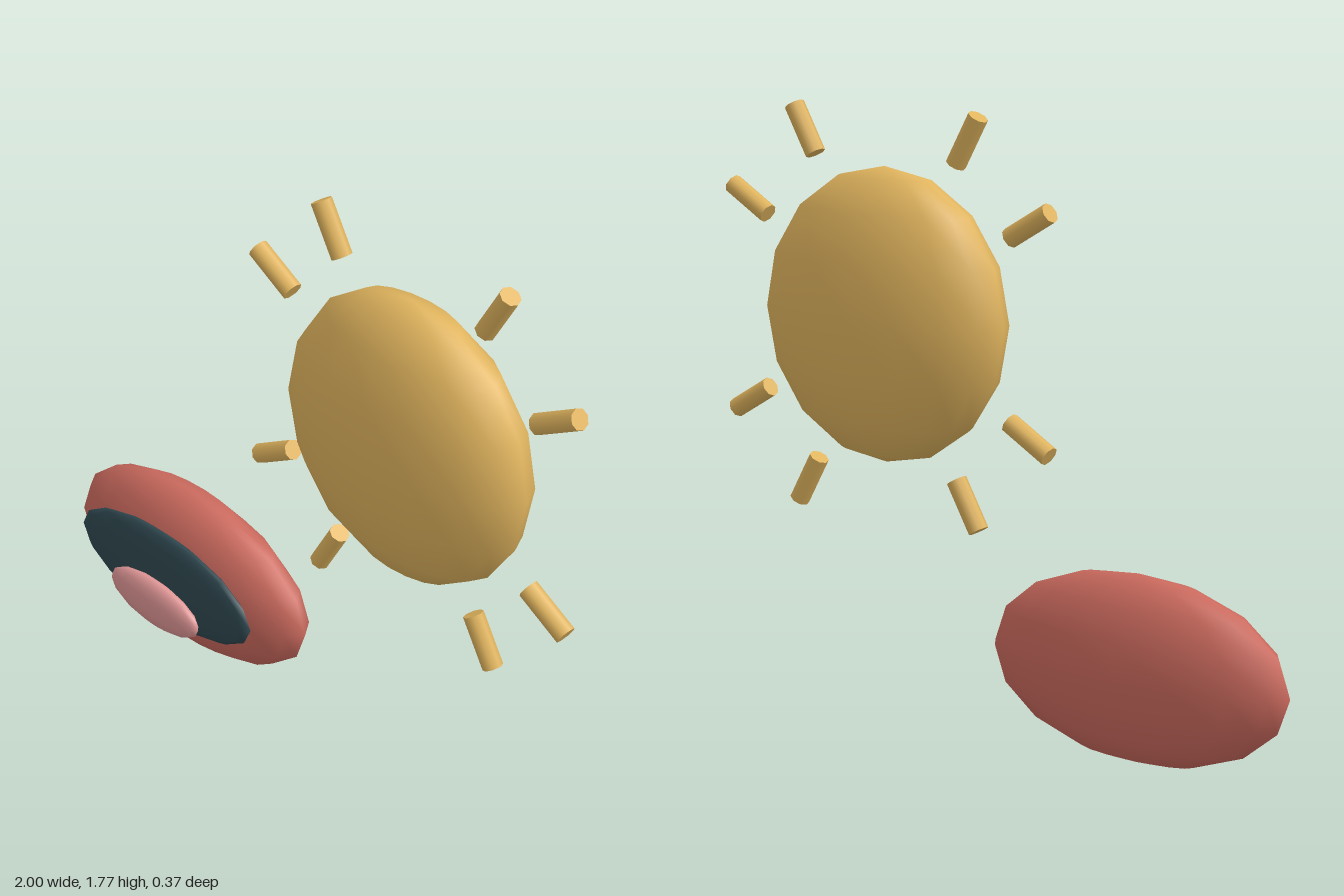
import * as THREE from 'three';

const mat = (name, color) => {
  const m = new THREE.MeshStandardMaterial({ color });
  m.name = name;
  return m;
};

export function createModel() {
  const group = new THREE.Group();
  const gold = mat('sun gold', 0xe0b45e);
  const red = mat('lip red', 0xcb6a5e);
  const dark = mat('mouth dark', 0x2f4850);
  const pink = mat('tongue pink', 0xe09696);

  // Flattened balls: centre and half sizes
  const ball = (name, material, centre, size) => {
    const g = new THREE.SphereGeometry(1, 16, 8);
    g.scale(...size);
    const mesh = new THREE.Mesh(g, material);
    mesh.name = name;
    mesh.position.set(...centre);
    group.add(mesh);
  };
  const z = -0.01;
  ball('sunDisc', gold, [0.392, 1.17, z], [0.432, 0.432, 0.177]);
  ball('lips', red, [-0.505, 0.272, z], [0.495, 0.27, 0.134]);
  ball('mouthOpening', dark, [-0.505, 0.285, 0.106], [0.382, 0.16, 0.034]);
  ball('tongue', pink, [-0.505, 0.207, 0.15], [0.198, 0.083, 0.036]);

  // Sun rays, in pairs either side of each diagonal
  const rays = new THREE.Group();
  rays.name = 'sunRays';
  rays.position.set(0.392, 1.17, z);
  const rayGeometry = new THREE.CylinderGeometry(0.03, 0.03, 0.16, 8);
  for (const degrees of [30, 60, 120, 150, 210, 240, 300, 330]) {
    const a = THREE.MathUtils.degToRad(degrees);
    const ray = new THREE.Mesh(rayGeometry, gold);
    ray.name = 'ray';
    ray.position.set(0.602 * Math.cos(a), 0.602 * Math.sin(a), 0);
    ray.rotation.z = a - Math.PI / 2;
    rays.add(ray);
  }
  group.add(rays);
  return group;
}
